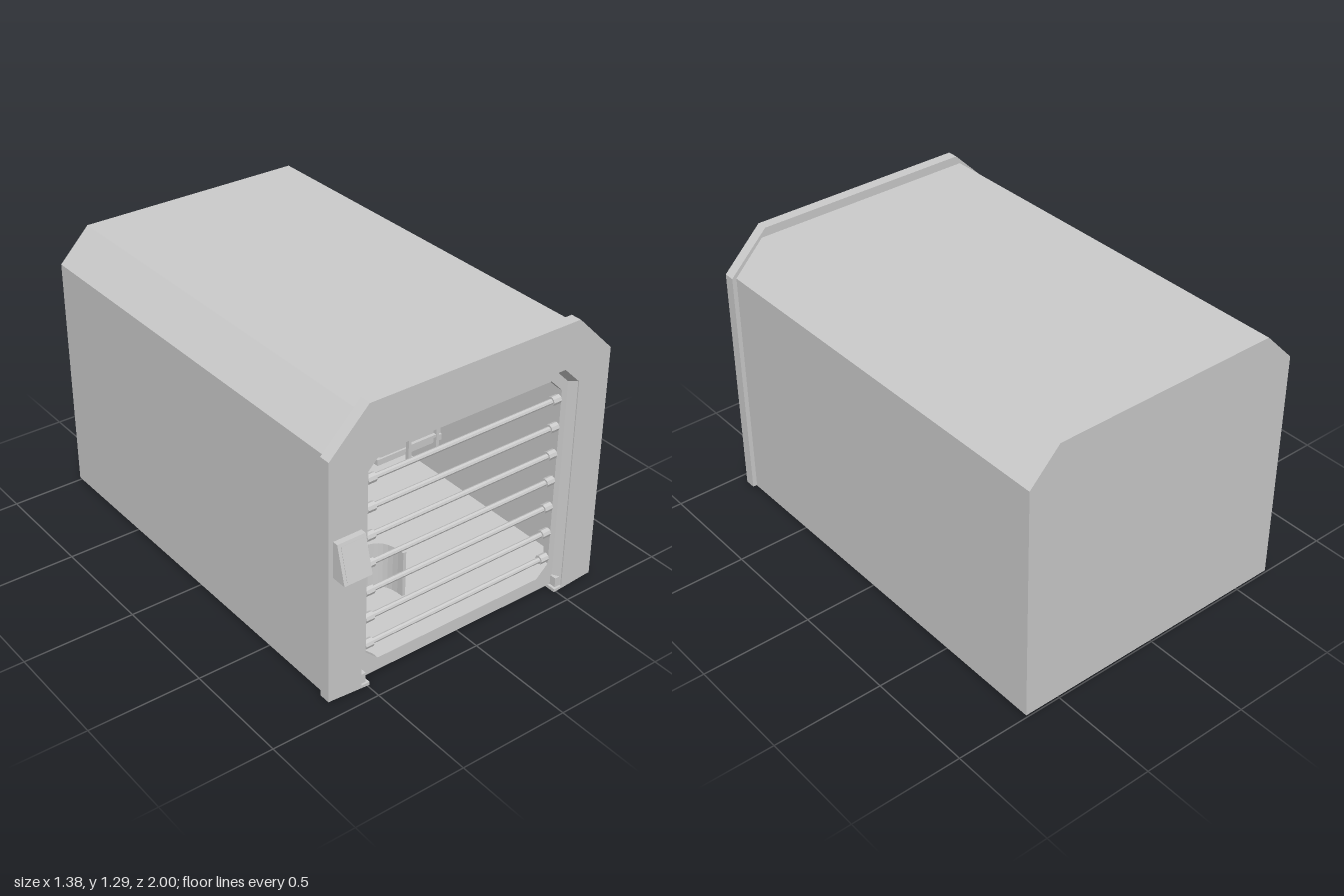
import * as THREE from 'three';

const mat = new THREE.MeshStandardMaterial({ color: 0xcccccc, flatShading: true, side: THREE.DoubleSide });

export function createModel() {
  const root = new THREE.Group();

  const add = (name, geo, x = 0, y = 0, z = 0, parent = root) => {
    const m = new THREE.Mesh(geo, mat);
    m.name = name;
    m.position.set(x, y, z);
    parent.add(m);
    return m;
  };
  // box given by its limits on each axis
  const box = (name, x0, x1, y0, y1, z0, z1, parent = root) =>
    add(name, new THREE.BoxGeometry(x1 - x0, y1 - y0, z1 - z0),
      (x0 + x1) / 2, (y0 + y1) / 2, (z0 + z1) / 2, parent);
  const pts = (list) => list.map(([x, y]) => new THREE.Vector2(x, y));
  // outline mirrored in x from its right half, listed bottom to top
  const mirrored = (half) => pts([...half, ...half.slice().reverse().map(([x, y]) => [-x, y])]);
  const extrude = (name, outline, hole, z0, z1, parent = root) => {
    const shape = new THREE.Shape(outline);
    if (hole) shape.holes.push(new THREE.Path(hole));
    const geo = new THREE.ExtrudeGeometry(shape, { depth: z1 - z0, bevelEnabled: false, curveSegments: 10 });
    return add(name, geo, 0, 0, z0, parent);
  };
  const group = (name) => {
    const g = new THREE.Group();
    g.name = name;
    root.add(g);
    return g;
  };

  // Hollow shell with chamfered roof edges, closed at the back
  const shellOuter = mirrored([[0.67, 0.012], [0.67, 1.105], [0.53, 1.25]]);
  const shellInner = mirrored([[0.65, 0.03], [0.65, 1.095], [0.52, 1.23]]);
  extrude('shell', shellOuter, shellInner, -0.98, 0.88);
  extrude('backWall', shellOuter, null, -1, -0.98);

  // Thick front arch, open at the floor
  const arch = [[0.69, 0.015], [0.69, 1.11], [0.51, 1.29], [-0.51, 1.29], [-0.69, 1.11], [-0.69, 0.015],
    [-0.53, 0.015], [-0.53, 1.01], [-0.45, 1.09], [0.45, 1.09], [0.53, 1.01], [0.53, 0.015]];
  extrude('frontArch', pts(arch), null, 0.88, 0.93);

  // Sloping reveal between arch and inner frame
  const front = [[0.53, 0.015], [0.53, 1.01], [0.45, 1.09], [-0.45, 1.09], [-0.53, 1.01], [-0.53, 0.015]];
  const rear = [[0.51, 0.015], [0.51, 1.0], [0.44, 1.07], [-0.44, 1.07], [-0.51, 1.0], [-0.51, 0.015]];
  const reveal = [];
  for (let i = 0; i < 5; i++) {
    const a = [...front[i], 0.925], b = [...front[i + 1], 0.925];
    const c = [...rear[i + 1], 0.89], d = [...rear[i], 0.89];
    reveal.push(...a, ...b, ...c, ...a, ...c, ...d);
  }
  const revealGeo = new THREE.BufferGeometry();
  revealGeo.setAttribute('position', new THREE.Float32BufferAttribute(reveal, 3));
  revealGeo.computeVertexNormals();
  add('archReveal', revealGeo);

  // Inner frame with an eight-sided opening
  extrude('innerFrame',
    mirrored([[0.53, 0.015], [0.53, 1.01], [0.45, 1.09]]),
    mirrored([[0.42, 0.075], [0.48, 0.13], [0.48, 0.97], [0.42, 1.03]]), 0.86, 0.89);

  // Wedge feet and small corner guides
  for (const s of [-1, 1]) {
    extrude('foot', pts([[s * 0.49, 0], [s * 0.68, 0.015], [s * 0.49, 0.015]]), null, 0.88, 0.93);
    box('cornerGuide', s * 0.515 - 0.013, s * 0.515 + 0.013, 0.005, 0.06, 0.88, 0.92);
  }

  // Horizontal bars with end collars
  const bars = group('bars');
  for (let i = 0; i < 7; i++) {
    const y = 0.157 + i * 0.128;
    add('bar', new THREE.CylinderGeometry(0.012, 0.012, 0.96, 8), 0, y, 0.875, bars).rotation.z = Math.PI / 2;
    for (const s of [-1, 1]) {
      add('barCollar', new THREE.CylinderGeometry(0.02, 0.02, 0.04, 8), s * 0.46, y, 0.875, bars)
        .rotation.z = Math.PI / 2;
    }
  }

  // Sloped control panel beside the opening
  const panel = group('controlPanel');
  const side = new THREE.Shape(pts([[0.93, 0.6], [1.0, 0.6], [0.955, 0.762], [0.93, 0.762]]));
  const wedge = new THREE.ExtrudeGeometry(side, { depth: 0.13, bevelEnabled: false });
  wedge.rotateY(-Math.PI / 2);
  add('panelBody', wedge, -0.54, 0, 0, panel);
  const screen = add('panelScreen', new THREE.BoxGeometry(0.106, 0.142, 0.004), -0.603, 0.681, 0.9775, panel);
  screen.rotation.x = -Math.atan2(0.045, 0.162);

  // Bunk beds and ladder along the left wall
  const bunks = group('bunkBeds');
  for (const y of [0.225, 0.7]) {
    box('bedBase', 0.28, 0.65, y, y + 0.03, -0.95, 0, bunks);
    const mattress = new THREE.Shape(pts([[0.28, y + 0.04], [0.31, y + 0.03], [0.65, y + 0.03],
      [0.65, y + 0.075], [0.3, y + 0.075], [0.28, y + 0.06]]));
    add('mattress', new THREE.ExtrudeGeometry(mattress, { depth: 0.93, bevelEnabled: false }), 0, 0, -0.94, bunks);
    const pillow = new THREE.SphereGeometry(1, 12, 6);
    pillow.scale(0.13, 0.025, 0.09);
    add('pillow', pillow, 0.475, y + 0.095, -0.8, bunks);
  }
  for (const x of [0.44, 0.6]) box('ladderPost', x - 0.008, x + 0.008, 0.2, 0.8, 0.01, 0.03, bunks);
  for (let i = 0; i < 5; i++) {
    const y = 0.28 + i * 0.1;
    box('ladderRung', 0.44, 0.6, y - 0.007, y + 0.007, 0.012, 0.028, bunks);
  }

  // Desk with a curved edge on the right wall
  const desk = group('desk');
  const top = new THREE.Shape();
  top.moveTo(-0.65, 0.1);
  top.lineTo(-0.43, 0.15);
  top.quadraticCurveTo(-0.28, 0.42, -0.54, 0.7);
  top.lineTo(-0.65, 0.76);
  const topGeo = new THREE.ExtrudeGeometry(top, { depth: 0.02, bevelEnabled: false, curveSegments: 8 });
  topGeo.rotateX(Math.PI / 2);
  add('deskTop', topGeo, 0, 0.473, 0, desk);
  box('deskBracket', -0.65, -0.5, 0.4, 0.455, 0.4, 0.42, desk);
  box('wallLocker', -0.65, -0.425, 0.33, 0.5, -0.97, -0.75);

  // Low stool under the desk
  const stool = group('stool');
  box('stoolSeat', -0.55, -0.36, 0.205, 0.23, 0.3, 0.48, stool).rotation.z = 0.1;
  box('stoolBack', -0.395, -0.365, 0.23, 0.33, 0.31, 0.47, stool);
  for (const x of [-0.53, -0.4]) for (const z of [0.32, 0.46])
    box('stoolLeg', x - 0.01, x + 0.01, 0.03, 0.21, z - 0.01, z + 0.01, stool);

  // Curved low screen, open toward the front
  const u = new THREE.Shape();
  u.moveTo(-0.35, 0.6);
  u.quadraticCurveTo(-0.35, 0.45, -0.22, 0.45);
  u.lineTo(-0.16, 0.45);
  u.quadraticCurveTo(-0.045, 0.45, -0.045, 0.6);
  u.lineTo(-0.06, 0.6);
  u.quadraticCurveTo(-0.06, 0.465, -0.16, 0.465);
  u.lineTo(-0.22, 0.465);
  u.quadraticCurveTo(-0.335, 0.465, -0.335, 0.6);
  const uGeo = new THREE.ExtrudeGeometry(u, { depth: 0.22, bevelEnabled: false, curveSegments: 8 });
  uGeo.rotateX(Math.PI / 2);
  add('curvedScreen', uGeo, 0, 0.25, 0);

  // Tapered waste bin
  const bin = pts([[0, 0], [0.045, 0], [0.07, 0.16], [0.06, 0.16], [0.038, 0.012], [0, 0.012]]);
  add('wasteBin', new THREE.LatheGeometry(bin, 8), -0.45, 0.03, -0.1);

  // Basin on the back wall
  const basin = group('washBasin');
  box('basinBack', -0.27, -0.09, 0.4, 0.575, -0.98, -0.96, basin);
  const bowl = new THREE.CylinderGeometry(0.127, 0.09, 0.07, 4, 1);
  bowl.rotateY(Math.PI / 4);
  add('basinBowl', bowl, -0.18, 0.45, -0.87, basin);

  // Ceiling-height vent with slats on the back wall
  const vent = group('vent');
  box('ventPlate', -0.36, -0.08, 0.91, 1.1, -0.98, -0.965, vent);
  for (let i = 0; i < 5; i++) {
    const y = 0.94 + i * 0.032;
    box('ventSlat', -0.345, -0.095, y, y + 0.012, -0.965, -0.95, vent).rotation.x = 0.4;
  }

  return root;
}
